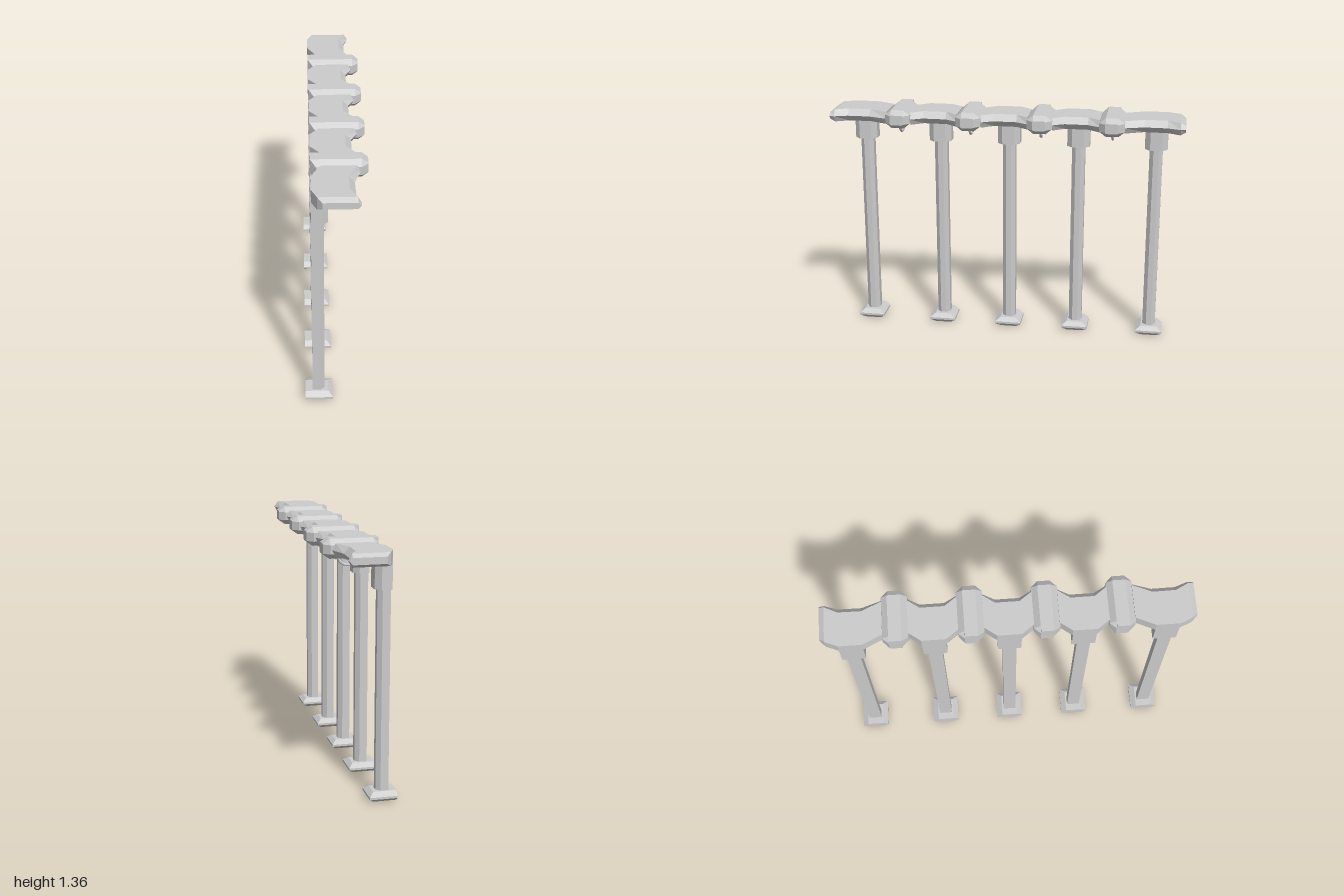
import * as THREE from 'three';

const material = new THREE.MeshStandardMaterial({ color: 0xcccccc, flatShading: true });

// Skin a row of matching rings (counter-clockwise seen from the far end) and cap both ends.
function loft(rings) {
  const n = rings[0].length, last = rings.length - 1, index = [];
  for (let i = 0; i < last; i++) {
    for (let j = 0; j < n; j++) {
      const a = i * n + j, b = i * n + (j + 1) % n;
      index.push(a, b, b + n, a, b + n, a + n);
    }
  }
  for (let j = 1; j < n - 1; j++) {
    index.push(0, j + 1, j, last * n, last * n + j, last * n + j + 1);
  }
  const geometry = new THREE.BufferGeometry();
  geometry.setAttribute('position', new THREE.Float32BufferAttribute(rings.flat(2), 3));
  geometry.setIndex(index);
  const flat = geometry.toNonIndexed();
  flat.computeVertexNormals();
  return flat;
}

function add(parent, name, geometry, z = 0) {
  const mesh = new THREE.Mesh(geometry, material);
  mesh.name = name;
  mesh.position.z = z;
  parent.add(mesh);
}

// Upright prism with a flat back and a chamfered front.
function upright(back, shoulder, front, halfWide, halfFront, y0, y1) {
  const ring = y => [
    [back, y, halfWide], [shoulder, y, halfWide], [front, y, halfFront],
    [front, y, -halfFront], [shoulder, y, -halfWide], [back, y, -halfWide],
  ];
  return loft([ring(y0), ring(y1)]);
}

// Foot plate bulging at mid height, flat at the back.
function footGeometry() {
  const ring = (y, front, half) => [
    [-0.17, y, half], [front, y, half], [front, y, -half], [-0.17, y, -half],
  ];
  return loft([ring(0, -0.045, 0.046), ring(0.022, -0.02, 0.077),
    ring(0.034, -0.02, 0.077), ring(0.055, -0.045, 0.046)]);
}

// Rail segment: [z, back x, top edge x, ridge x, low y, high y] per section.
function railGeometry(sections) {
  return loft(sections.map(([z, back, edge, ridge, lo = 1.27, hi = 1.34]) => [
    [back, lo, z], [edge, lo, z], [ridge, 1.305, z], [edge, hi, z], [back, hi, z],
  ]));
}

// Joint: octagonal bar along x, tapered at both ends.
function jointGeometry() {
  const ring = (x, wide, narrow, inner, outer) => [
    [outer, narrow], [inner, wide], [-inner, wide], [-outer, narrow],
    [-outer, -narrow], [-inner, -wide], [inner, -wide], [outer, -narrow],
  ].map(([y, z]) => [x, 1.307 + y, z]);
  return loft([ring(-0.13, 0.036, 0.034, 0.025, 0.052), ring(-0.1, 0.07, 0.035, 0.024, 0.052),
    ring(0.133, 0.07, 0.035, 0.024, 0.052), ring(0.167, 0.036, 0.03, 0.024, 0.028)]);
}

export function createModel() {
  const model = new THREE.Group();
  model.name = 'railing';

  // Posts with brackets and feet
  const foot = footGeometry();
  const post = upright(-0.13, -0.087, -0.065, 0.037, 0.015, 0.05, 1.15);
  const bracket = upright(-0.13, -0.075, -0.045, 0.064, 0.034, 1.135, 1.3);
  for (const z of [-0.84, -0.4, 0, 0.4, 0.84]) {
    const support = new THREE.Group();
    support.name = 'support';
    support.position.z = z;
    add(support, 'foot', foot);
    add(support, 'post', post);
    add(support, 'bracket', bracket);
    model.add(support);
  }

  // Middle rail segments, hollowed towards the front
  const middle = railGeometry([
    [-0.132, -0.08, 0.107, 0.127], [-0.065, -0.13, 0.058, 0.09],
    [0.065, -0.13, 0.058, 0.09], [0.132, -0.08, 0.107, 0.127],
  ]);
  for (const z of [-0.4, 0, 0.4]) add(model, 'railSegment', middle, z);

  // End rail segments with bevelled tips
  const end = [
    [0.668, -0.08, 0.107, 0.127], [0.775, -0.13, 0.06, 0.092],
    [0.9, -0.13, 0.062, 0.093], [0.972, -0.1, 0.098, 0.118], [1, -0.075, 0.1, 0.115, 1.287, 1.323],
  ];
  add(model, 'railEnd', railGeometry(end));
  add(model, 'railEnd', railGeometry(end.map(([z, ...rest]) => [-z, ...rest]).reverse()));

  // Joints with a small hanging loop below
  const joint = jointGeometry();
  const loop = new THREE.TorusGeometry(0.06, 0.007, 6, 16, Math.PI);
  loop.rotateZ(Math.PI).translate(0.022, 1.272, 0);
  for (const z of [-0.6, -0.2, 0.2, 0.6]) {
    add(model, 'joint', joint, z);
    add(model, 'hangingLoop', loop, z);
  }
  return model;
}
